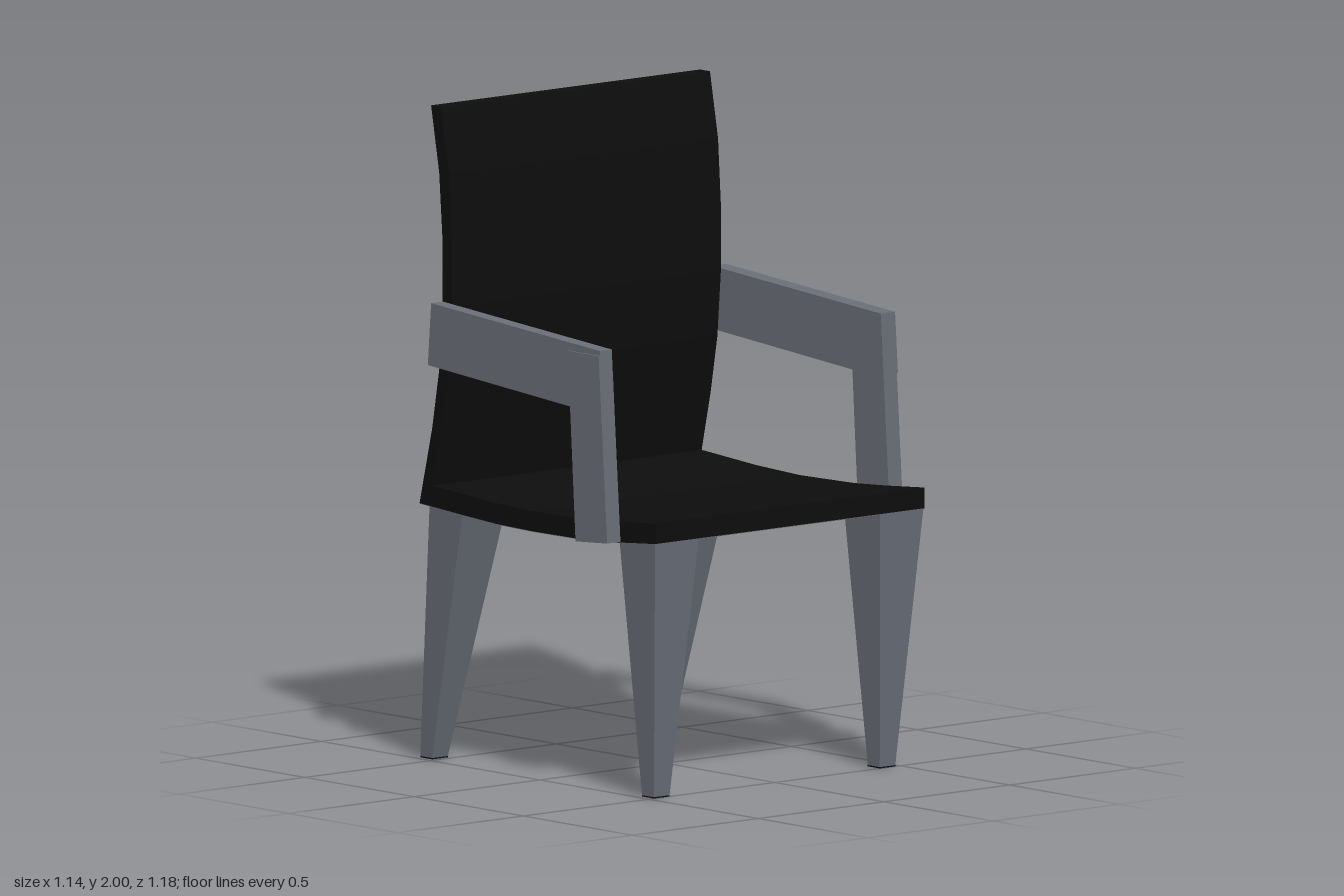
import * as THREE from 'three';

const black = new THREE.MeshStandardMaterial({ color: 0x0d0d0d, flatShading: true });
const slate = new THREE.MeshStandardMaterial({ color: 0x686d76, flatShading: true });

// Side outline in x, y extruded across z from z0 to z1
function panel(name, points, z0, z1, material) {
  const shape = new THREE.Shape(points.map(([x, y]) => new THREE.Vector2(x, y)));
  const geometry = new THREE.ExtrudeGeometry(shape, { depth: z1 - z0, bevelEnabled: false });
  geometry.translate(0, 0, z0);
  const mesh = new THREE.Mesh(geometry, material);
  mesh.name = name;
  return mesh;
}

// Box whose ends are moved to two rectangles: [x0, x1, z0, z1, y]
function taperedLeg(name, top, foot, material) {
  const geometry = new THREE.BoxGeometry(1, 1, 1);
  const p = geometry.attributes.position;
  for (let i = 0; i < p.count; i++) {
    const r = p.getY(i) > 0 ? top : foot;
    p.setXYZ(i, p.getX(i) < 0 ? r[0] : r[1], r[4], p.getZ(i) < 0 ? r[2] : r[3]);
  }
  geometry.computeVertexNormals();
  const mesh = new THREE.Mesh(geometry, material);
  mesh.name = name;
  return mesh;
}

export function createModel() {
  const chair = new THREE.Group();
  chair.name = 'armchair';

  // Curved backrest and dished seat form one bent shell
  const seatBottom = [[-0.51, 0.785], [-0.33, 0.773], [-0.16, 0.763], [0, 0.76],
    [0.25, 0.762], [0.41, 0.773], [0.57, 0.787]];
  const shell = [...seatBottom,
    [0.57, 0.85], [0.4, 0.836], [0.25, 0.826], [0, 0.821], [-0.2, 0.828], [-0.45, 0.845],
    [-0.408, 1.03], [-0.378, 1.2], [-0.362, 1.4], [-0.362, 1.6], [-0.375, 1.8], [-0.412, 2],
    [-0.457, 2], [-0.42, 1.8], [-0.405, 1.6], [-0.405, 1.4], [-0.42, 1.2], [-0.452, 1.02]];
  chair.add(panel('seatAndBack', shell, -0.535, 0.535, black));

  // Grey lining under the seat
  const lining = [...seatBottom.map(([x, y]) => [x, y - 0.002]),
    ...seatBottom.map(([x, y]) => [x, y + 0.001]).reverse()];
  chair.add(panel('seatUnderside', lining, -0.534, 0.534, slate));

  // Arms: sloping rail and leaning post on each side
  const rail = [[-0.418, 1.22], [0.24, 1.17], [0.383, 1.17], [0.37, 1.355], [-0.403, 1.41]];
  const post = [[0.265, 0.765], [0.41, 0.775], [0.371, 1.34], [0.23, 1.34], [0.24, 1.17]];
  for (const side of [1, -1]) {
    const arm = new THREE.Group();
    arm.name = side > 0 ? 'leftSideArm' : 'rightSideArm';
    const span = (outer) => (side > 0 ? [0.535, outer] : [-outer, -0.535]);
    arm.add(panel('armRail', rail, ...span(side > 0 ? 0.582 : 0.592), slate));
    arm.add(panel('armPost', post, ...span(0.588), slate));
    chair.add(arm);
  }

  // Tapered legs with the rear pair raked back, each on a thin dark foot pad
  for (const side of [1, -1]) {
    const z = (a, b) => (side > 0 ? [a, b] : [-b, -a]);
    const topZ = z(0.36, 0.534);
    const footZ = z(0.418, 0.48);
    chair.add(taperedLeg('frontLeg', [0.403, 0.567, ...topZ, 0.79], [0.445, 0.5, ...footZ, 0.004], slate));
    chair.add(taperedLeg('rearLeg', [-0.465, -0.312, ...topZ, 0.79], [-0.57, -0.515, ...footZ, 0.004], slate));
    for (const [x0, x1] of [[0.445, 0.5], [-0.57, -0.515]]) {
      chair.add(taperedLeg('footPad', [x0, x1, ...footZ, 0.004], [x0, x1, ...footZ, 0], black));
    }
  }
  return chair;
}
